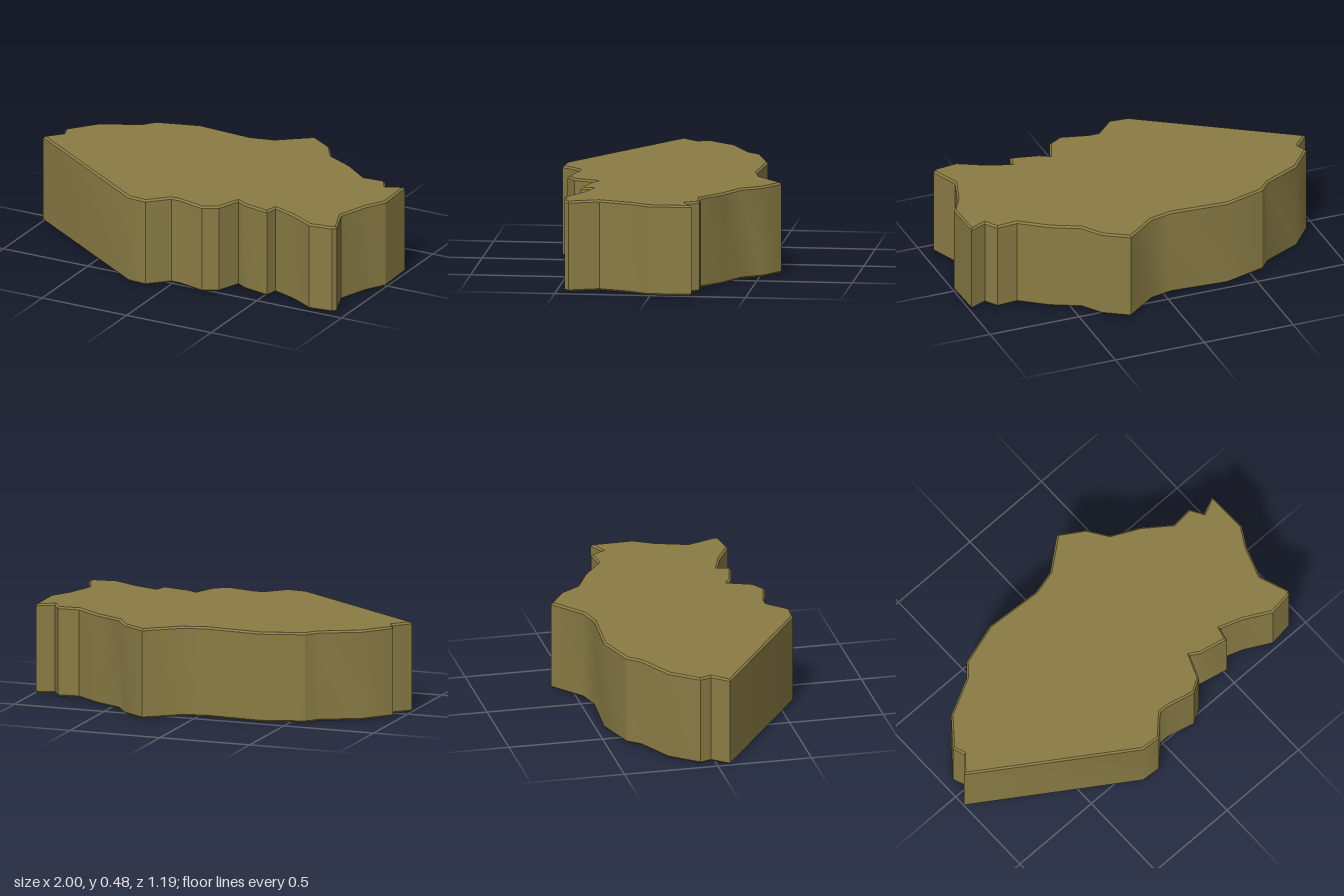
import * as THREE from 'three';
import { toCreasedNormals } from 'three/addons/utils/BufferGeometryUtils.js';

// Outline seen from above, as [x, z]
const OUTLINE = [
  // back edge, from the left tip
  [-1, 0.065], [-0.925, -0.02], [-0.948, -0.08], [-0.83, -0.225], [-0.63, -0.325],
  [-0.575, -0.39], [-0.35, -0.457], [-0.045, -0.437], [0.08, -0.467], [0.25, -0.6],
  [0.38, -0.517], [0.45, -0.412], [0.6, -0.338], [0.74, -0.233], [0.855, -0.243],
  // right end
  [0.897, -0.175], [0.988, -0.215], [0.995, 0.01], [0.935, 0.115], [0.88, 0.28],
  [0.938, 0.435], [0.922, 0.457],
  // front edge, back to the tip
  [0.795, 0.473], [0.655, 0.398], [0.532, 0.355], [0.517, 0.423], [0.365, 0.39],
  [0.315, 0.36], [0.267, 0.485], [0.192, 0.53], [0.04, 0.493], [-0.01, 0.493],
  [-0.11, 0.593], [-0.215, 0.585],
];
const HEIGHT = 0.478;
const BEVEL = 0.01;

export function createModel() {
  const group = new THREE.Group();
  group.name = 'irregularSlab';

  const olive = new THREE.MeshStandardMaterial({ color: 0x8a7c45 });
  olive.name = 'olive';

  // Slab with a fine chamfer along the top and bottom rims
  const shape = new THREE.Shape(OUTLINE.map(([x, z]) => new THREE.Vector2(x, -z)));
  const extruded = new THREE.ExtrudeGeometry(shape, {
    depth: HEIGHT - 2 * BEVEL,
    bevelEnabled: true,
    bevelThickness: BEVEL,
    bevelSize: BEVEL,
    bevelOffset: -BEVEL,
    bevelSegments: 1,
  });
  extruded.rotateX(-Math.PI / 2).translate(0, BEVEL, 0);

  // Gentle bends shade smoothly, corners and rims stay sharp
  const slab = new THREE.Mesh(toCreasedNormals(extruded, 0.55), olive);
  slab.name = 'slab';
  group.add(slab);
  return group;
}
